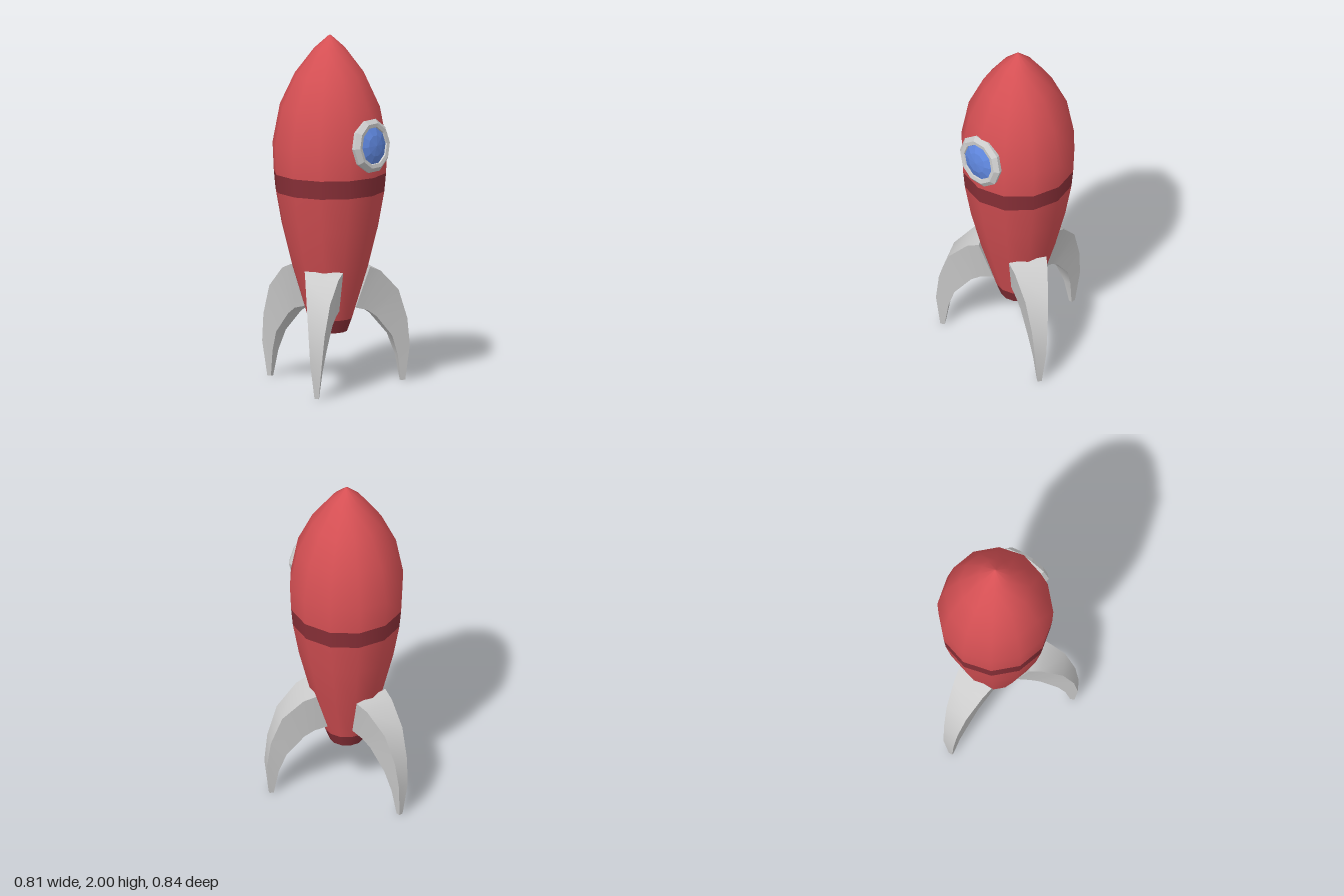
import * as THREE from 'three';

const AXIS_X = 0.062; // the hull axis sits a little to +x
const red = new THREE.MeshStandardMaterial({ color: 0xd65054 });
const darkRed = new THREE.MeshStandardMaterial({ color: 0x8a3038 });
const blue = new THREE.MeshStandardMaterial({ color: 0x6088e0, flatShading: true });
const grey = new THREE.MeshStandardMaterial({ color: 0xcccccc });
const greyFlat = new THREE.MeshStandardMaterial({ color: 0xcccccc, flatShading: true });

// Turned part from [radius, height] pairs
function lathe(name, points, sides, material) {
  const profile = points.map(([r, y]) => new THREE.Vector2(r, y));
  const mesh = new THREE.Mesh(new THREE.LatheGeometry(profile, sides), material);
  mesh.name = name;
  return mesh;
}

// Fin cross-sections from root to tip: [distance from axis, height, half width]
const finOuter = [
  [0.2, 0.68, 0.11], [0.27, 0.65, 0.095], [0.387, 0.53, 0.067],
  [0.447, 0.36, 0.046], [0.467, 0.2, 0.033], [0.447, 0, 0.012],
];
const finInner = [
  [0.127, 0.445, 0.075], [0.2, 0.425, 0.068], [0.257, 0.385, 0.058],
  [0.357, 0.265, 0.043], [0.397, 0.15, 0.026], [0.422, 0, 0.01],
];

// Curved fin pointing along +x, smooth along its length with sharp long edges
function finGeometry() {
  const positions = [];
  const index = [];
  const strip = (a, b) => {
    const base = positions.length / 3;
    a.forEach((p, i) => positions.push(...p, ...b[i]));
    for (let i = 0; i < a.length - 1; i++) {
      const k = base + i * 2;
      index.push(k, k + 1, k + 2, k + 1, k + 3, k + 2);
    }
  };
  const edge = (rows, side) => rows.map(([d, y, h]) => [d, y, side * h]);
  const loop = [edge(finOuter, -1), edge(finOuter, 1), edge(finInner, 1), edge(finInner, -1)];
  loop.forEach((rail, i) => strip(rail, loop[(i + 1) % 4]));

  // Root and tip caps
  const last = finOuter.length - 1;
  const [a, b, c, d] = loop;
  strip([a[0], b[0]], [d[0], c[0]]);
  strip([b[last], a[last]], [c[last], d[last]]);

  const geometry = new THREE.BufferGeometry();
  geometry.setAttribute('position', new THREE.Float32BufferAttribute(positions, 3));
  geometry.setIndex(index);
  geometry.computeVertexNormals();
  return geometry;
}

export function createModel() {
  const model = new THREE.Group();
  model.name = 'rocket';

  // Hull in stacked colour sections
  const hull = new THREE.Group();
  hull.name = 'hull';
  hull.position.x = AXIS_X;
  hull.add(
    lathe('noseSection', [[0.32, 1.22], [0.327, 1.38], [0.285, 1.6], [0.2, 1.78],
      [0.09, 1.925], [0.007, 2], [0, 2]], 12, red),
    lathe('waistBand', [[0.31, 1.115], [0.32, 1.22]], 12, darkRed),
    lathe('lowerSection', [[0.125, 0.385], [0.215, 0.68], [0.275, 0.92], [0.31, 1.115]], 12, red),
    lathe('nozzleBand', [[0.097, 0.31], [0.125, 0.385]], 12, darkRed),
    lathe('nozzleRim', [[0.065, 0.31], [0.097, 0.31]], 12, darkRed),
    lathe('nozzleCavity', [[0, 0.36], [0.055, 0.36], [0.065, 0.31]], 12, red),
  );
  model.add(hull);

  // Porthole on the left side, tilted up to follow the hull
  const porthole = new THREE.Group();
  porthole.name = 'porthole';
  porthole.position.set(0.37, 1.403, 0);
  porthole.rotation.z = -Math.PI / 2 + 0.1;
  porthole.add(
    lathe('portholeFrame', [[0.13, -0.04], [0.15, -0.022], [0.155, 0], [0.13, 0.022],
      [0.108, 0.019], [0.102, 0]], 10, greyFlat),
    lathe('portholeGlass', [[0.106, 0.01], [0.06, 0.028], [0, 0.035]], 10, blue),
  );
  model.add(porthole);

  // Three landing fins
  const geometry = finGeometry();
  for (let i = 0; i < 3; i++) {
    const fin = new THREE.Mesh(geometry, grey);
    fin.name = 'fin' + (i + 1);
    fin.position.x = AXIS_X;
    fin.rotation.y = Math.PI + (i * Math.PI * 2) / 3;
    model.add(fin);
  }
  return model;
}
